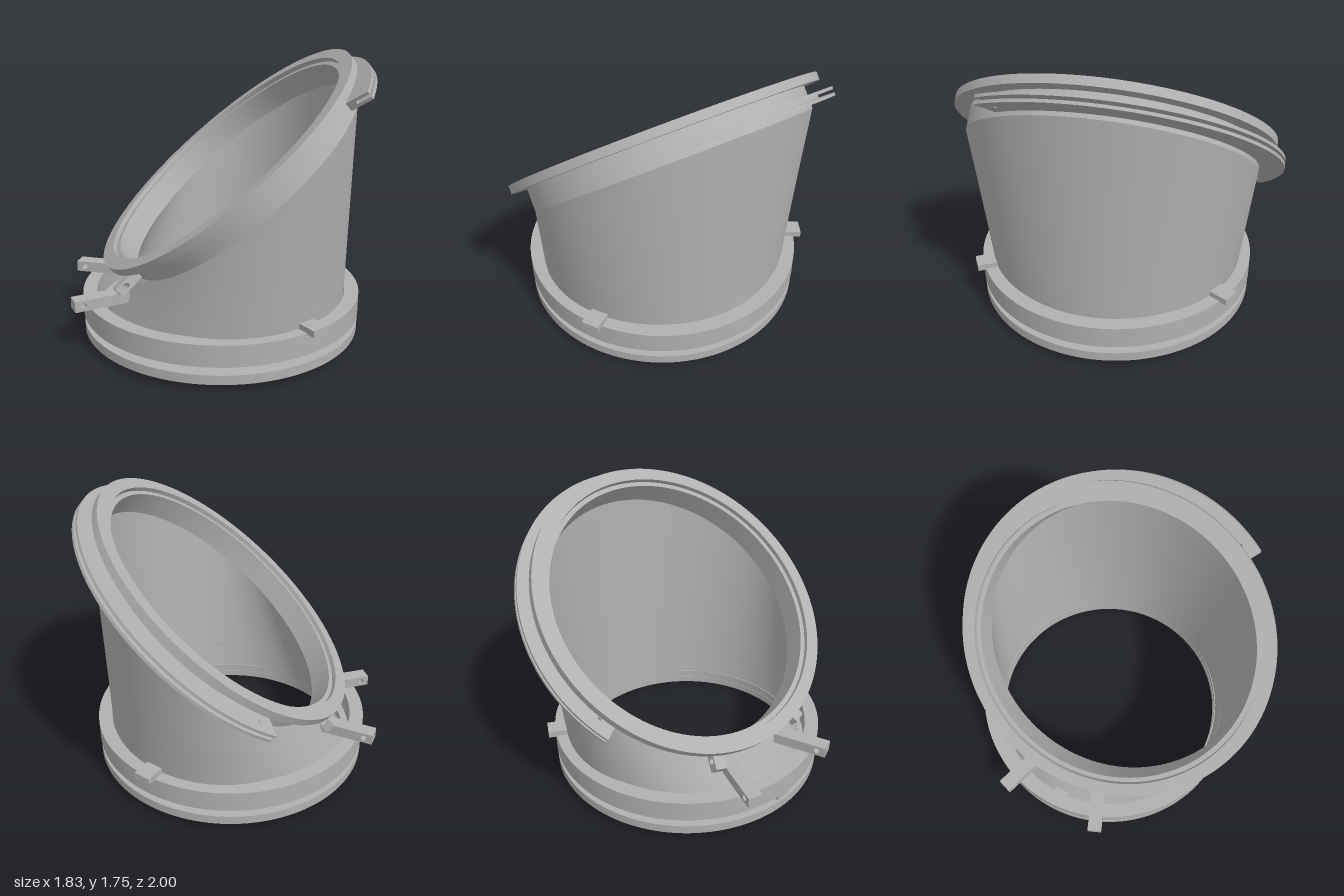
import * as THREE from 'three';
import { toCreasedNormals } from 'three/addons/utils/BufferGeometryUtils.js';

const AXIS_X = 0.022, AXIS_Z = 0.027;      // shared axis of the base rings
const TILT = THREE.MathUtils.degToRad(40); // slope of the upper flange
const FLANGE_Y = 1.125;
const SEG = 128;
const rad = THREE.MathUtils.degToRad;

const metal = new THREE.MeshStandardMaterial({ color: 0xb0b0b0, side: THREE.DoubleSide });
metal.name = 'grey metal';

function part(name, geometry) {
  const mesh = new THREE.Mesh(geometry, metal);
  mesh.name = name;
  return mesh;
}

// Ring turned from a closed [radius, height] section, listed anticlockwise
function turned(name, section) {
  const points = [...section, section[0]].map(([r, y]) => new THREE.Vector2(r, y));
  return part(name, toCreasedNormals(new THREE.LatheGeometry(points, SEG), 0.5));
}

function washer(name, inner, outer, y0, y1) {
  return turned(name, [[inner, y0], [outer, y0], [outer, y1], [inner, y1]]);
}

// Radial bar with an optional cross hole, placed at an angle around the axis
function radialBar(name, angle, r0, r1, y0, y1, width, holeAt) {
  const shape = new THREE.Shape();
  shape.moveTo(r0, y0).lineTo(r1, y0).lineTo(r1, y1).lineTo(r0, y1).closePath();
  if (holeAt) {
    const hole = new THREE.Path();
    hole.absarc(holeAt, (y0 + y1) / 2, 0.019, 0, Math.PI * 2, true);
    shape.holes.push(hole);
  }
  const geometry = new THREE.ExtrudeGeometry(shape, { depth: width, bevelEnabled: false, curveSegments: 12 });
  geometry.translate(0, 0, -width / 2);
  const bar = part(name, geometry);
  bar.rotation.y = -rad(angle);
  return bar;
}

// Flat arc plate hanging down from the given height
function arcPlate(name, inner, outer, top, thickness, pinHoles) {
  const from = rad(-119.5), to = rad(34.5);
  const shape = new THREE.Shape();
  shape.absarc(0, 0, outer, from, to, false);
  shape.absarc(0, 0, inner, to, from, true);
  shape.closePath();
  for (const a of pinHoles) {
    const hole = new THREE.Path();
    hole.absarc(0.955 * Math.cos(rad(a)), 0.955 * Math.sin(rad(a)), 0.011, 0, Math.PI * 2, true);
    shape.holes.push(hole);
  }
  const geometry = new THREE.ExtrudeGeometry(shape, { depth: thickness, bevelEnabled: false, curveSegments: 80 });
  geometry.rotateX(Math.PI / 2);
  geometry.translate(0, top, 0);
  return part(name, toCreasedNormals(geometry, 0.5));
}

// Thin-walled tube blending from the level base circle to the tilted one
function bodyGeometry() {
  const drop = -0.19, steps = 12;
  const at = (rBottom, rTop, t, a) => {
    const c = Math.cos(a), s = Math.sin(a);
    const bottom = new THREE.Vector3(rBottom * c, 0, rBottom * s);
    const top = new THREE.Vector3(
      0.003 + rTop * c * Math.cos(TILT) - drop * Math.sin(TILT),
      FLANGE_Y + rTop * c * Math.sin(TILT) + drop * Math.cos(TILT),
      rTop * s);
    return bottom.lerp(top, t);
  };
  const rows = [];
  for (let i = 0; i <= steps; i++) rows.push([0.78, 0.88, i / steps]);
  for (let i = steps; i >= 0; i--) rows.push([0.762, 0.86, i / steps]);
  rows.push(rows[0]);

  const positions = [], index = [];
  for (const [rb, rt, t] of rows)
    for (let j = 0; j <= SEG; j++) positions.push(...at(rb, rt, t, (j / SEG) * Math.PI * 2).toArray());
  for (let i = 0; i < rows.length - 1; i++)
    for (let j = 0; j < SEG; j++) {
      const a = i * (SEG + 1) + j, b = a + SEG + 1;
      index.push(a, b, a + 1, b, b + 1, a + 1);
    }
  const geometry = new THREE.BufferGeometry();
  geometry.setAttribute('position', new THREE.Float32BufferAttribute(positions, 3));
  geometry.setIndex(index);
  return toCreasedNormals(geometry, 0.5);
}

export function createModel() {
  const model = new THREE.Group();
  model.name = 'angledDuct';
  const base = new THREE.Group();
  base.name = 'base';
  base.position.set(AXIS_X, 0, AXIS_Z);
  model.add(base);

  // Tube and base rings
  base.add(
    part('body', bodyGeometry()),
    washer('footRing', 0.762, 0.78, 0, 0.045),
    washer('lowerCollar', 0.765, 0.875, 0.038, 0.095),
    washer('upperCollar', 0.79, 0.878, 0.145, 0.277),
    radialBar('stopTab', 180, 0.745, 0.862, 0.095, 0.137, 0.1));

  // Clips on the collar and the lower hinge arms
  for (const side of [-1, 1]) {
    base.add(
      radialBar('collarClip', side * 60, 0.805, 0.925, 0.27, 0.31, 0.108),
      radialBar('lowerHingeArm', 180 + side * 20, 0.64, 0.978, 0.277, 0.345, 0.09, 0.925));
  }

  // Tilted upper flange with its neck and stepped seat
  const head = new THREE.Group();
  head.name = 'head';
  head.position.set(0.003, FLANGE_Y, 0);
  head.rotation.z = TILT;
  base.add(head);
  head.add(turned('upperFlange', [
    [0.86, -0.19], [0.88, -0.19], [0.88, -0.05], [0.973, -0.05],
    [0.973, 0], [0.89, 0], [0.89, -0.03], [0.86, -0.03]]));

  // Grooved arc bracket: two plates around a narrower core
  const pins = [29, -113.5];
  head.add(
    arcPlate('bracketUpperPlate', 0.875, 1.027, -0.11, 0.018, pins),
    arcPlate('bracketCore', 0.875, 0.935, -0.128, 0.019, []),
    arcPlate('bracketLowerPlate', 0.875, 1.027, -0.147, 0.018, pins));

  // Upper hinge lugs
  for (const side of [-1, 1])
    head.add(radialBar('upperHingeLug', 180 + side * 20, 0.865, 1.04, -0.173, -0.11, 0.08, 0.98));

  return model;
}
